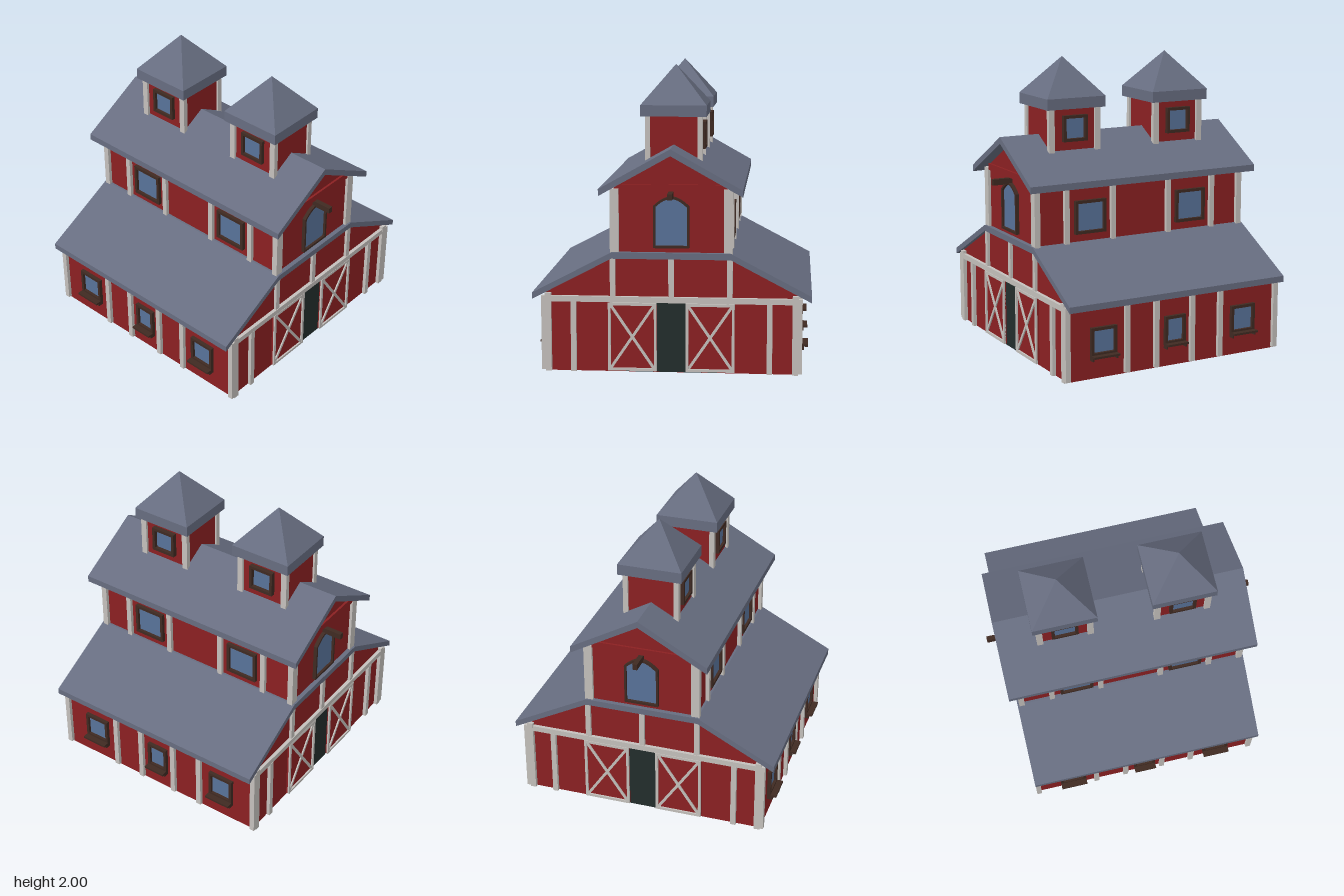
import * as THREE from 'three';

const paint = (color) => new THREE.MeshStandardMaterial({ color, flatShading: true, side: THREE.DoubleSide });
const RED = paint(0x8b2022), WHITE = paint(0xc4c0bc), ROOF = paint(0x676d80);
const BROWN = paint(0x3f2a22), GLASS = paint(0x587299), DARK = paint(0x232d2c);

export function createModel() {
  const barn = new THREE.Group();
  barn.name = 'barn';

  const add = (parent, name, geometry, material) => {
    const mesh = new THREE.Mesh(geometry, material);
    mesh.name = name;
    parent.add(mesh);
    return mesh;
  };
  // Box given by its min and max on each axis
  const box = (parent, name, material, x0, x1, y0, y1, z0, z1) => {
    const mesh = add(parent, name, new THREE.BoxGeometry(x1 - x0, y1 - y0, z1 - z0), material);
    mesh.position.set((x0 + x1) / 2, (y0 + y1) / 2, (z0 + z1) / 2);
    return mesh;
  };
  const shapeOf = (points) => new THREE.Shape(points.map(([a, b]) => new THREE.Vector2(a, b)));
  // Outline in (z, y) pushed along x from x0 to x1
  const extrudeX = (parent, name, material, shape, x0, x1) => {
    const g = new THREE.ExtrudeGeometry(shape, { depth: x1 - x0, bevelEnabled: false, curveSegments: 8 });
    g.rotateY(-Math.PI / 2);
    g.translate(x1, 0, 0);
    return add(parent, name, g, material);
  };
  // Roof band of constant vertical thickness; top points run from +z to the middle
  const roofShape = (half, t) => {
    const mirror = half.filter(([z]) => z > 0).map(([z, y]) => [-z, y]).reverse();
    const top = [...half, ...mirror];
    return shapeOf([...top, ...top.map(([z, y]) => [z, y - t]).reverse()]);
  };
  // Square window on a wall facing +z
  const windowAt = (parent, x0, x1, y0, y1, z, depth = 0.025) => {
    const g = new THREE.Group();
    g.name = 'window';
    parent.add(g);
    const f = 0.02;
    box(g, 'glass', GLASS, x0 + f, x1 - f, y0 + f, y1 - f, z - 0.005, z + 0.006);
    for (const [a, b] of [[x0, x0 + f], [x1 - f, x1]]) box(g, 'frameSide', BROWN, a, b, y0, y1, z - 0.005, z + depth);
    for (const [a, b] of [[y0, y0 + f], [y1 - f, y1]]) box(g, 'frameRail', BROWN, x0 + f, x1 - f, a, b, z - 0.005, z + depth);
    return g;
  };

  // Front and back faces share one layout, turned half a circle
  for (const turn of [0, Math.PI]) {
    const face = new THREE.Group();
    face.name = turn ? 'backFace' : 'frontFace';
    face.rotation.y = turn;
    barn.add(face);

    // Lower storey
    box(face, 'lowerWall', RED, -0.79, 0.79, 0, 0.525, 0.81, 0.83);
    for (const x of [-0.798, -0.362, -0.142, 0.133, 0.353, 0.798])
      box(face, 'lowerPost', WHITE, x - 0.018, x + 0.018, 0.01, 0.505, 0.83, 0.855);
    for (const [x, w] of [[-0.535, 0.094], [0, 0.078], [0.535, 0.094]]) {
      const win = windowAt(face, x - w, x + w, 0.155, 0.345, 0.83);
      box(win, 'sill', BROWN, x - w, x + w, 0.148, 0.162, 0.83, 0.895);
      for (const s of [-1, 1]) {
        const c = x + s * (w - 0.006);
        box(win, 'sillBracket', BROWN, c - 0.005, c + 0.005, 0.125, 0.15, 0.83, 0.87);
      }
    }

    // Upper storey
    for (const x of [-0.567, -0.217, 0.212, 0.562])
      box(face, 'upperPost', WHITE, x - 0.018, x + 0.018, 0.79, 1.225, 0.37, 0.4);
    for (const s of [-1, 1]) {
      box(face, 'upperCornerPost', WHITE, s * 0.785 - 0.02, s * 0.785 + 0.02, 0.79, 1.215, 0.342, 0.4);
      windowAt(face, s * 0.388 - 0.116, s * 0.388 + 0.116, 0.853, 1.08, 0.375);
    }
  }

  // Gable ends, built facing +x and turned for the other side
  for (const turn of [0, Math.PI]) {
    const end = new THREE.Group();
    end.name = turn ? 'rightEnd' : 'leftEnd';
    end.rotation.y = turn;
    barn.add(end);

    // Lower gable wall, framing and doorway
    extrudeX(end, 'lowerGableWall', RED, shapeOf([[0.83, 0], [0.83, 0.535], [0.39, 0.765], [-0.39, 0.765], [-0.83, 0.535], [-0.83, 0]]), 0.77, 0.79);
    box(end, 'doorway', DARK, 0.765, 0.794, 0.002, 0.47, -0.3, 0.3);
    box(end, 'tieBeam', WHITE, 0.785, 0.814, 0.468, 0.506, -0.79, 0.79);
    for (const z of [-0.383, 0, 0.383]) box(end, 'gablePost', WHITE, 0.785, 0.81, 0.506, 0.76, z - 0.018, z + 0.018);
    for (const s of [-1, 1]) {
      box(end, 'cornerPost', WHITE, 0.785, 0.816, 0, 0.525, s * 0.81 - 0.02, s * 0.81 + 0.02);
      box(end, 'sidePost', WHITE, 0.785, 0.815, 0, 0.47, s * 0.643 - 0.018, s * 0.643 + 0.018);

      // Sliding door with crossed braces
      const door = new THREE.Group();
      door.name = 'slidingDoor';
      door.position.z = s * 0.255;
      end.add(door);
      box(door, 'doorPanel', RED, 0.785, 0.802, 0.01, 0.465, -0.16, 0.16);
      for (const k of [-1, 1]) {
        box(door, 'doorStile', WHITE, 0.8, 0.814, 0.01, 0.465, k * 0.151 - 0.009, k * 0.151 + 0.009);
        box(door, 'doorRail', WHITE, 0.8, 0.814, 0.2375 + k * 0.2185 - 0.009, 0.2375 + k * 0.2185 + 0.009, -0.142, 0.142);
        const brace = add(door, 'doorBrace', new THREE.BoxGeometry(0.011, 0.018, Math.hypot(0.284, 0.42)), WHITE);
        brace.position.set(0.806, 0.2375, 0);
        brace.rotation.x = k * Math.atan2(0.42, 0.284);
      }
    }

    // Arched window
    const arch = (w, y0, y1, top) => {
      const s = new THREE.Shape();
      s.moveTo(-w, y0);
      s.lineTo(w, y0);
      s.lineTo(w, y1);
      s.quadraticCurveTo(w * 0.45, top, 0, top);
      s.quadraticCurveTo(-w * 0.45, top, -w, y1);
      s.closePath();
      return s;
    };
    const frame = arch(0.117, 0.83, 1.105, 1.168);
    frame.holes.push(arch(0.103, 0.846, 1.098, 1.153));
    extrudeX(end, 'archedFrame', BROWN, frame, 0.78, 0.81);
    extrudeX(end, 'archedGlass', GLASS, arch(0.106, 0.84, 1.1, 1.156), 0.78, 0.793);

    // Ledge under the gable and the hoist beam
    box(end, 'gableLedge', RED, 0.78, 0.8, 1.2, 1.245, -0.342, 0.342);
    box(end, 'hoistBeam', BROWN, 0.78, 0.925, 1.16, 1.2, -0.016, 0.016);
  }

  // Upper storey body
  extrudeX(barn, 'upperBody', RED, shapeOf([[0.375, 0.78], [0.375, 1.24], [0, 1.45], [-0.375, 1.24], [-0.375, 0.78]]), -0.785, 0.785);

  // Roofs
  extrudeX(barn, 'lowerRoof', ROOF, roofShape([[0.915, 0.525], [0.39, 0.8]], 0.042), -0.817, 0.817);
  extrudeX(barn, 'upperRoof', ROOF, roofShape([[0.467, 1.22], [0, 1.482]], 0.045), -0.865, 0.865);

  // Cupolas
  for (const x of [-0.406, 0.398]) {
    const cupola = new THREE.Group();
    cupola.name = 'cupola';
    cupola.position.x = x;
    barn.add(cupola);
    box(cupola, 'cupolaBody', RED, -0.18, 0.18, 1.3, 1.68, -0.172, 0.172);
    for (const sx of [-1, 1]) for (const sz of [-1, 1])
      box(cupola, 'cupolaPost', WHITE, sx * 0.173 - 0.021, sx * 0.173 + 0.021, 1.36, 1.68, sz * 0.173 - 0.017, sz * 0.173 + 0.017);
    windowAt(cupola, -0.09, 0.09, 1.445, 1.622, 0.172);
    windowAt(cupola, -0.09, 0.09, 1.445, 1.622, 0.172, 0.032).rotation.y = Math.PI;
    box(cupola, 'cupolaEave', ROOF, -0.218, 0.218, 1.668, 1.742, -0.218, 0.218);
    const spire = add(cupola, 'cupolaSpire', new THREE.ConeGeometry(0.218 * Math.SQRT2, 0.258, 4, 1).rotateY(Math.PI / 4), ROOF);
    spire.position.y = 1.871;
  }
  return barn;
}
